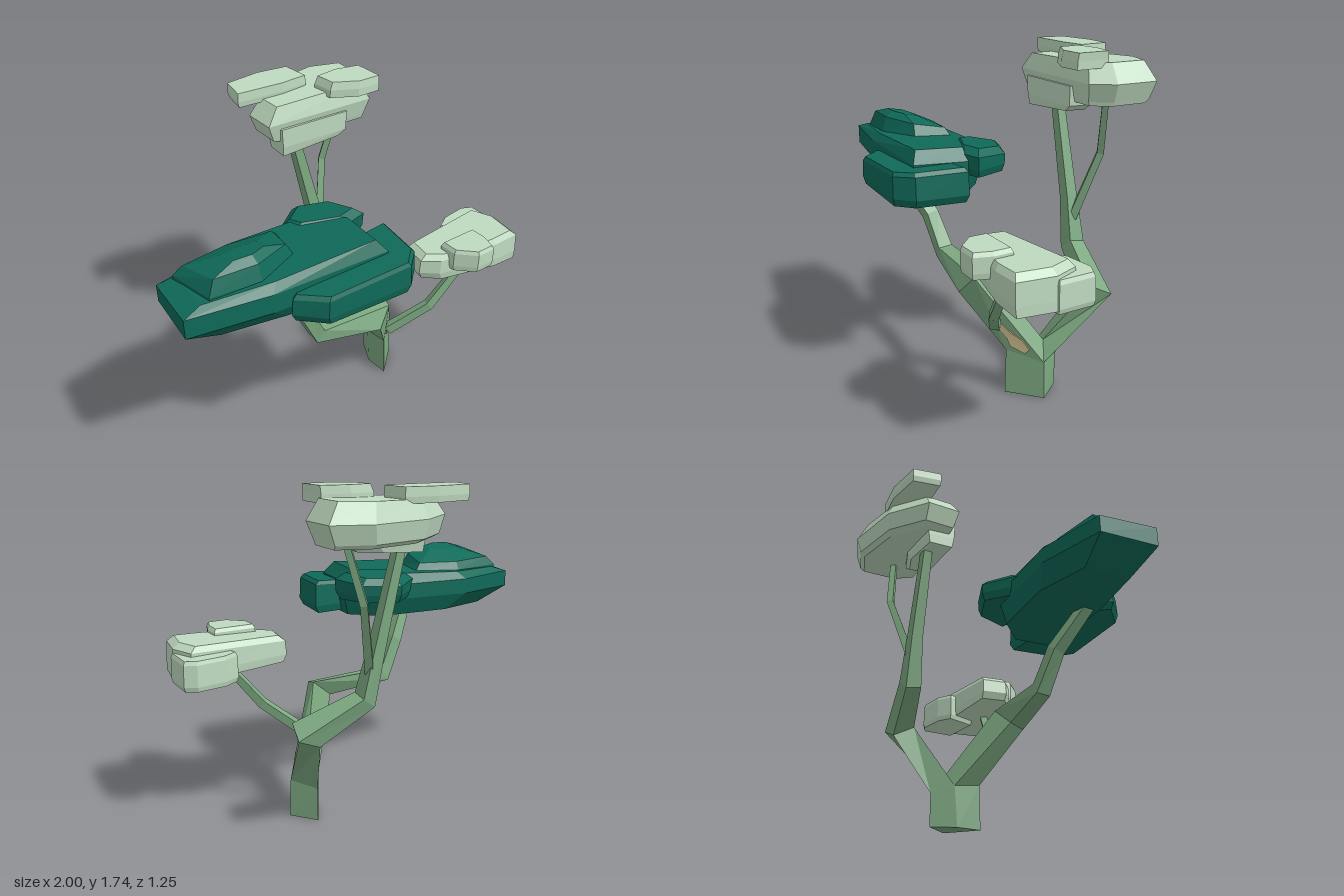
import * as THREE from 'three';

const mat = (name, color) => Object.assign(new THREE.MeshStandardMaterial({ color }), { name });
const V = (a) => new THREE.Vector3(...a);
const mean = (pts) => pts.reduce((s, p) => s.add(p), new THREE.Vector3()).divideScalar(pts.length);

// Faceted solid through rings of equal length, closed at both ends
function loft(rings) {
  const pos = [];
  const tri = (...pts) => pts.forEach((p) => pos.push(p.x, p.y, p.z));
  const n = rings[0].length;
  const first = rings[0], last = rings[rings.length - 1];
  const c0 = mean(first), c1 = mean(last);
  for (let k = 0; k < n; k++) {
    const j = (k + 1) % n;
    for (let i = 0; i + 1 < rings.length; i++) {
      const a = rings[i], b = rings[i + 1];
      tri(a[k], a[j], b[j]);
      tri(a[k], b[j], b[k]);
    }
    tri(c0, first[j], first[k]);
    tri(c1, last[k], last[j]);
  }
  const g = new THREE.BufferGeometry();
  g.setAttribute('position', new THREE.Float32BufferAttribute(pos, 3));
  g.computeVertexNormals();
  return g;
}

// Square-sectioned limb: optional fixed rings, then [x, y, z, radius] stations
function limb(startRings, stations) {
  const rings = startRings.slice();
  const path = [...rings.map(mean), ...stations.map((s) => V(s.slice(0, 3)))];
  let u = rings.length
    ? rings[rings.length - 1][0].clone().sub(path[rings.length - 1])
    : new THREE.Vector3(0, -0.5, 1);
  stations.forEach((s, i) => {
    const m = rings.length, c = path[m];
    const t = new THREE.Vector3();
    if (m > 0) t.add(c.clone().sub(path[m - 1]).normalize());
    if (m + 1 < path.length) t.add(path[m + 1].clone().sub(c).normalize());
    t.normalize();
    u = u.clone().addScaledVector(t, -u.dot(t)).normalize();
    const v = t.clone().cross(u);
    const ring = [];
    for (const [a, b] of [[1, 0], [0, 1], [-1, 0], [0, -1]]) {
      ring.push(c.clone().addScaledVector(u, a * s[3]).addScaledVector(v, b * s[3]));
    }
    rings.push(ring);
  });
  return loft(rings);
}

// Leaf slab: plan outline [x, z], levels [y, scale, dx, dz, slopeX, slopeZ]
function slab(outline, levels) {
  let area = 0;
  outline.forEach(([x, z], i) => {
    const [x2, z2] = outline[(i + 1) % outline.length];
    area += x * z2 - x2 * z;
  });
  const pts = area > 0 ? outline.slice().reverse() : outline;
  const xs = pts.map((p) => p[0]), zs = pts.map((p) => p[1]);
  const cx = (Math.min(...xs) + Math.max(...xs)) / 2;
  const cz = (Math.min(...zs) + Math.max(...zs)) / 2;
  return loft(levels.map(([y, s, dx = 0, dz = 0, sx = 0, sz = 0]) => pts.map(([x, z]) => {
    const ox = (x - cx) * s + dx, oz = (z - cz) * s + dz;
    return new THREE.Vector3(cx + ox, y + sx * ox + sz * oz, cz + oz);
  })));
}

export function createModel() {
  const bark = mat('bark green', 0x7ca880);
  const wood = mat('bare wood', 0xd8c894);
  const dark = mat('dark leaves', 0x0f6a59);
  const pale = mat('pale leaves', 0xbfdac0);
  const model = new THREE.Group();
  model.name = 'tree';
  const add = (name, geometry, material) => {
    const m = new THREE.Mesh(geometry, material);
    m.name = name;
    model.add(m);
  };

  // Trunk, whose four top corners and crotch point feed both limbs
  const base = [[0.34, 0, 0.16], [0.5, 0, 0.02], [0.4, 0, -0.11], [0.335, 0, 0.02]].map(V);
  const [A, B, C, D] = [[0.335, 0.24, 0.15], [0.49, 0.2, 0.02], [0.4, 0.18, -0.11], [0.335, 0.22, 0]].map(V);
  const N = V([0.42, 0.29, -0.02]);
  add('trunk', loft([base, [A, B, C, D]]), bark);

  // Front limb reaching to the dark canopy
  const elbow = [[0.15, 0.53, 0.32], [0.24, 0.63, 0.28], [0.25, 0.65, 0.2], [0.13, 0.55, 0.23]].map(V);
  add('frontLimb', limb([[A, B, N, D], elbow],
    [[-0.2, 0.62, 0.22, 0.055], [-0.3, 0.81, 0.25, 0.048], [-0.46, 1.04, 0.36, 0.04]]), bark);
  add('frontTwig', limb([], [[0.31, 0.38, 0.2, 0.035], [0.5, 0.54, 0.32, 0.033], [0.7, 0.8, 0.37, 0.026]]), bark);

  // Rear limb reaching to the tall canopy
  add('rearLimb', limb([[N, B, C, D]],
    [[0.53, 0.55, -0.25, 0.09], [0.24, 0.7, -0.32, 0.062], [0.18, 0.95, -0.33, 0.045], [0.05, 1.46, -0.335, 0.034]]), bark);
  add('rearTwig', limb([],
    [[0.22, 0.84, -0.33, 0.03], [0.31, 1.2, -0.43, 0.025], [0.39, 1.52, -0.39, 0.022]]), bark);

  // Bare wood patch lying on the outer face of the front limb
  const normal = B.clone().sub(A).cross(elbow[0].clone().sub(A)).normalize();
  const patch = [[0.3, 0.12], [0.6, 0.06], [0.88, 0.14], [0.92, 0.26], [0.72, 0.34], [0.66, 0.46], [0.42, 0.47], [0.45, 0.3]];
  const onFace = (lift) => patch.map(([u, v]) => A.clone().lerp(B, u)
    .lerp(elbow[0].clone().lerp(elbow[1], u), v).addScaledVector(normal, lift));
  add('barePatch', loft([onFace(0), onFace(0.008)]), wood);

  // Dark canopy
  add('darkMainLeaf', slab(
    [[-0.97, 0.06], [-0.61, -0.02], [-0.12, 0.03], [0.05, 0.2], [0.02, 0.49], [-0.6, 0.45], [-1, 0.37]],
    [[1.0, 0.8, 0.08], [1.09, 1, 0, 0, 0.01], [1.18, 1, 0, 0, 0, 0.04], [1.225, 0.86, 0.02, 0, 0.04, 0.05]]), dark);
  add('darkFrontLeaf', slab(
    [[-0.52, 0.47], [-0.4, 0.59], [0.06, 0.62], [0.15, 0.54], [0.19, 0.27], [-0.4, 0.3]],
    [[1.01, 0.94], [1.05, 1], [1.15, 0.98, 0, 0, 0.05], [1.17, 0.92, 0, 0, 0.05]]), dark);
  add('darkTopLeaf', slab(
    [[-0.9, 0.09], [-0.61, 0.05], [-0.34, 0.09], [-0.38, 0.29], [-0.61, 0.38], [-0.86, 0.35]],
    [[1.17, 1.02], [1.22, 1, 0, 0, 0, 0.05], [1.28, 0.85, 0, 0, 0, 0.18], [1.315, 0.35, 0, 0.04, 0, 0.2]]), dark);
  add('darkBackLeaf', slab(
    [[-0.28, 0.03], [-0.13, -0.09], [0.06, -0.01], [0.12, 0.18], [-0.02, 0.22], [-0.25, 0.12]],
    [[1.1, 0.88], [1.14, 0.98], [1.2, 1, 0, 0, 0, 0.08], [1.235, 0.75, 0, 0, 0, 0.1]]), dark);

  // Tall pale canopy
  add('tallMainLeaf', slab(
    [[-0.15, -0.24], [0.47, -0.22], [0.55, -0.33], [0.56, -0.56], [0.37, -0.63], [0.05, -0.57], [-0.15, -0.42]],
    [[1.48, 0.82, 0.02, 0.01], [1.5, 0.9], [1.59, 1], [1.68, 0.82, 0, 0.01, 0.02]]), pale);
  add('tallLowLeaf', slab(
    [[-0.08, -0.23], [0.32, -0.22], [0.34, -0.34], [0.2, -0.39], [-0.07, -0.38]],
    [[1.42, 0.85, -0.02, 0, 0.06], [1.46, 0.97], [1.56, 1]]), pale);
  add('tallLeftLeaf', slab(
    [[-0.23, -0.39], [-0.2, -0.54], [0, -0.57], [0.17, -0.55], [0.18, -0.39], [0.03, -0.375]],
    [[1.66, 0.96], [1.69, 1], [1.735, 0.98]]), pale);
  add('tallFrontLeaf', slab(
    [[0.21, -0.22], [0.2, -0.34], [0.33, -0.36], [0.47, -0.33], [0.47, -0.15], [0.34, -0.15]],
    [[1.66, 1], [1.7, 1], [1.74, 0.95, 0.01]]), pale);

  // Low pale canopy
  add('lowMainLeaf', slab(
    [[0.4, 0.21], [0.94, 0.17], [0.99, 0.3], [0.96, 0.49], [0.8, 0.49], [0.46, 0.42], [0.375, 0.35]],
    [[0.775, 0.97, 0.01, 0, -0.05], [0.82, 1, 0, 0, -0.03], [0.91, 0.98, 0, 0, 0.03], [0.94, 0.86, 0, 0, 0.03]]), pale);
  add('lowBackLeaf', slab(
    [[0.7, 0.15], [0.78, 0.1], [0.94, 0.08], [1, 0.11], [1, 0.3], [0.75, 0.32]],
    [[0.745, 0.95], [0.77, 1], [0.88, 0.98], [0.9, 0.92]]), pale);
  add('lowFrontLeaf', slab(
    [[0.51, 0.36], [0.51, 0.46], [0.6, 0.55], [0.71, 0.55], [0.74, 0.46], [0.74, 0.36]],
    [[0.85, 0.95], [0.88, 1], [0.955, 1], [0.975, 0.9]]), pale);

  return model;
}
